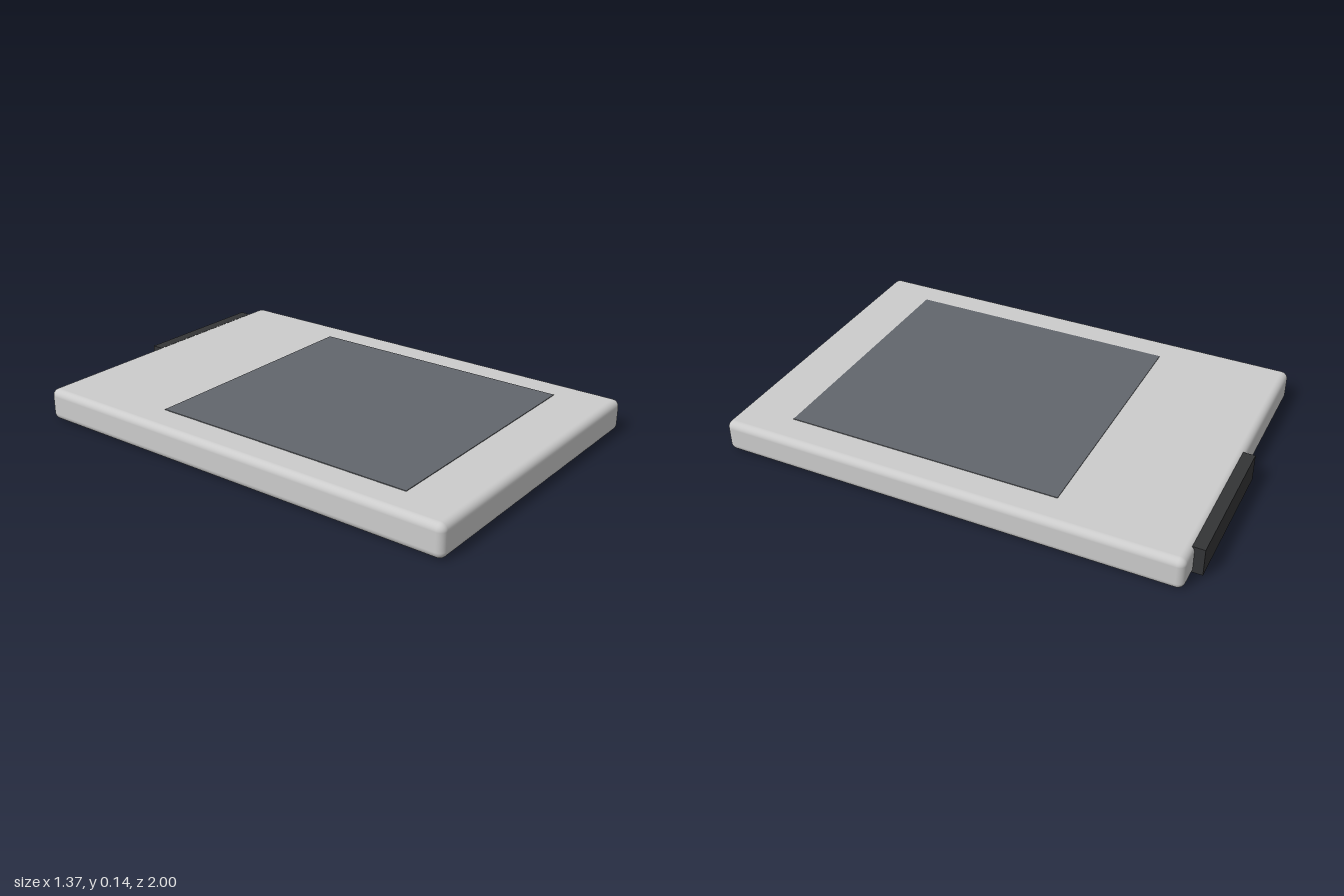
import * as THREE from 'three';
import { RoundedBoxGeometry } from 'three/addons/geometries/RoundedBoxGeometry.js';

// Adds a mesh spanning the given [min, max] ranges on each axis; radius rounds the edges
function addBlock(group, name, color, [x0, x1], [y0, y1], [z0, z1], radius = 0) {
  const size = [x1 - x0, y1 - y0, z1 - z0];
  const geometry = radius
    ? new RoundedBoxGeometry(...size, 5, radius)
    : new THREE.BoxGeometry(...size);
  const mesh = new THREE.Mesh(geometry, new THREE.MeshStandardMaterial({ color }));
  mesh.name = name;
  mesh.position.set((x0 + x1) / 2, (y0 + y1) / 2, (z0 + z1) / 2);
  group.add(mesh);
}

export function createModel() {
  const group = new THREE.Group();
  group.name = 'flatDevice';

  // Slab body with softly rounded edges
  addBlock(group, 'body', 0xcccccc, [-0.684, 0.684], [0, 0.137], [-0.96, 1], 0.03);

  // Thin dark panel, barely proud of the top face
  addBlock(group, 'topPanel', 0x62666c, [-0.548, 0.548], [0.13, 0.14], [-0.415, 0.76]);

  // Connector block on the rear edge, offset to the left
  addBlock(group, 'rearConnector', 0x333436, [-0.035, 0.581], [0.013, 0.131], [-1, -0.95]);

  return group;
}
